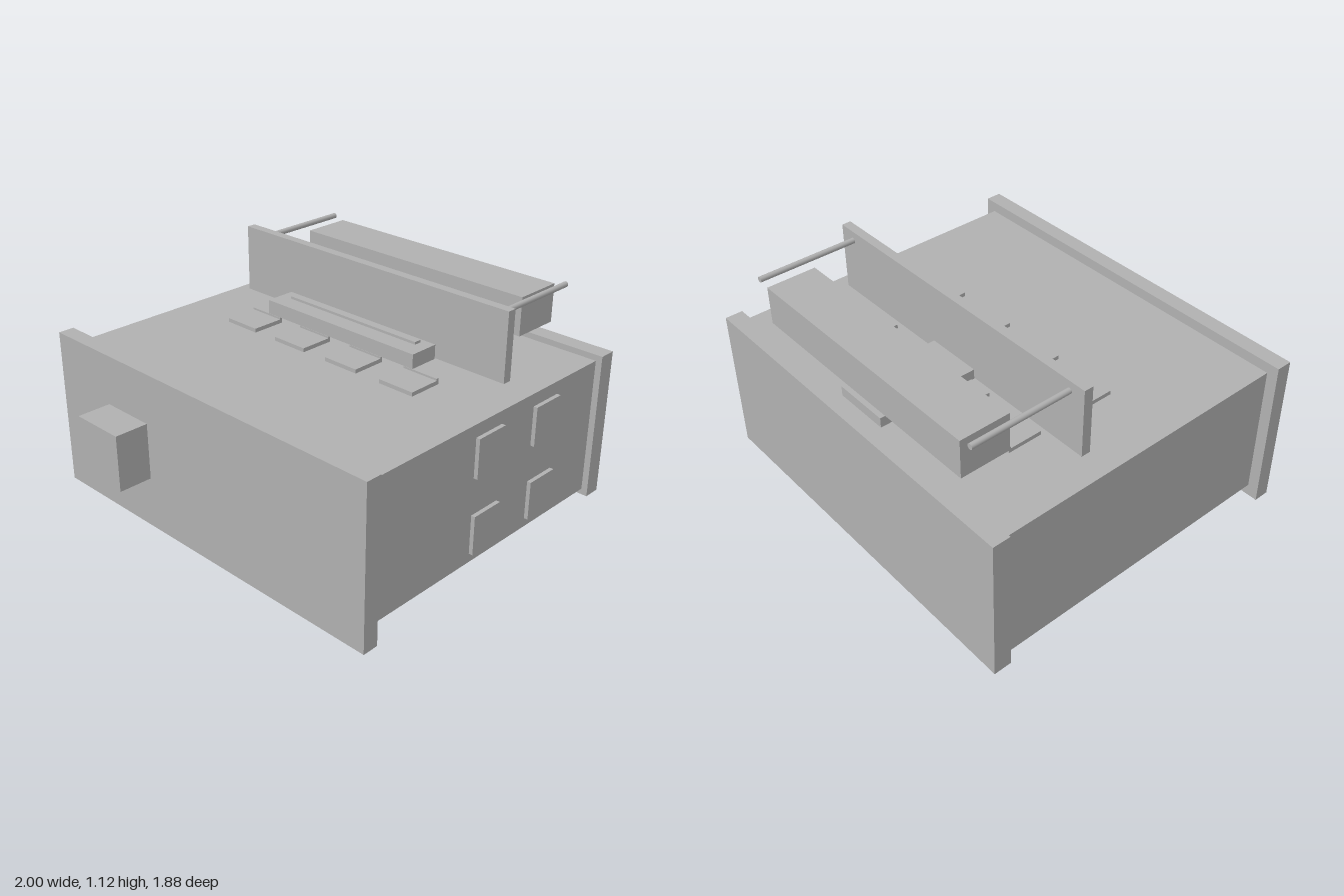
import * as THREE from 'three';

export function createModel() {
  const model = new THREE.Group();
  model.name = 'equipmentCase';

  const grey = new THREE.MeshStandardMaterial({ color: 0xb0b0b0 });
  grey.name = 'grey';

  // Box given by its extents on each axis
  function box(name, [x0, x1], [y0, y1], [z0, z1], parent = model) {
    const mesh = new THREE.Mesh(new THREE.BoxGeometry(x1 - x0, y1 - y0, z1 - z0), grey);
    mesh.position.set((x0 + x1) / 2, (y0 + y1) / 2, (z0 + z1) / 2);
    mesh.name = name;
    parent.add(mesh);
    return mesh;
  }

  // Case with overhanging front and rear panels
  box('caseBody', [-0.944, 0.944], [0.06, 0.747], [-0.855, 0.69]);
  box('frontPanel', [-1, 1], [0, 0.8], [0.69, 0.77]);
  box('rearPanel', [-0.976, 0.976], [0.03, 0.777], [-0.943, -0.855]);
  box('frontKnob', [-0.632, -0.348], [0.262, 0.546], [0.77, 0.942]);

  // Two rows of four pads on the lid, each with a small rear lip
  for (const z of [0.045, -0.362]) {
    for (const x of [-0.503, -0.169, 0.165, 0.5]) {
      const pad = new THREE.Group();
      pad.name = 'topPad';
      model.add(pad);
      box('padPlate', [x - 0.097, x + 0.097], [0.757, 0.777], [z - 0.178, z], pad);
      box('padLip', [x - 0.097, x + 0.097], [0.777, 0.787], [z - 0.178, z - 0.165], pad);
    }
    // Two pads one above the other on the left side
    for (const y of [0.115, 0.495]) {
      box('sidePad', [0.952, 0.972], [y, y + 0.195], [z - 0.177, z]);
    }
  }

  // Low bar with a raised strip
  box('bar', [-0.468, 0.468], [0.797, 0.868], [-0.26, -0.105]);
  box('barStrip', [-0.404, 0.404], [0.868, 0.881], [-0.231, -0.194]);

  // Upright plate, rear block and the bridge beneath it
  box('uprightPlate', [-0.828, 0.828], [0.778, 1.12], [-0.346, -0.3]);
  box('rearBlock', [-0.682, 0.682], [0.867, 1.06], [-0.855, -0.604]);
  box('bridge', [-0.142, 0.142], [0.773, 0.823], [-0.852, -0.346]);

  // Rods running back from the upright plate
  for (const side of [-1, 1]) {
    const rod = new THREE.Mesh(new THREE.CylinderGeometry(0.014, 0.014, 0.509, 16), grey);
    rod.rotation.x = Math.PI / 2;
    rod.position.set(side * 0.743, 1.072, -0.6005);
    rod.name = side > 0 ? 'leftRod' : 'rightRod';
    model.add(rod);
  }

  return model;
}
